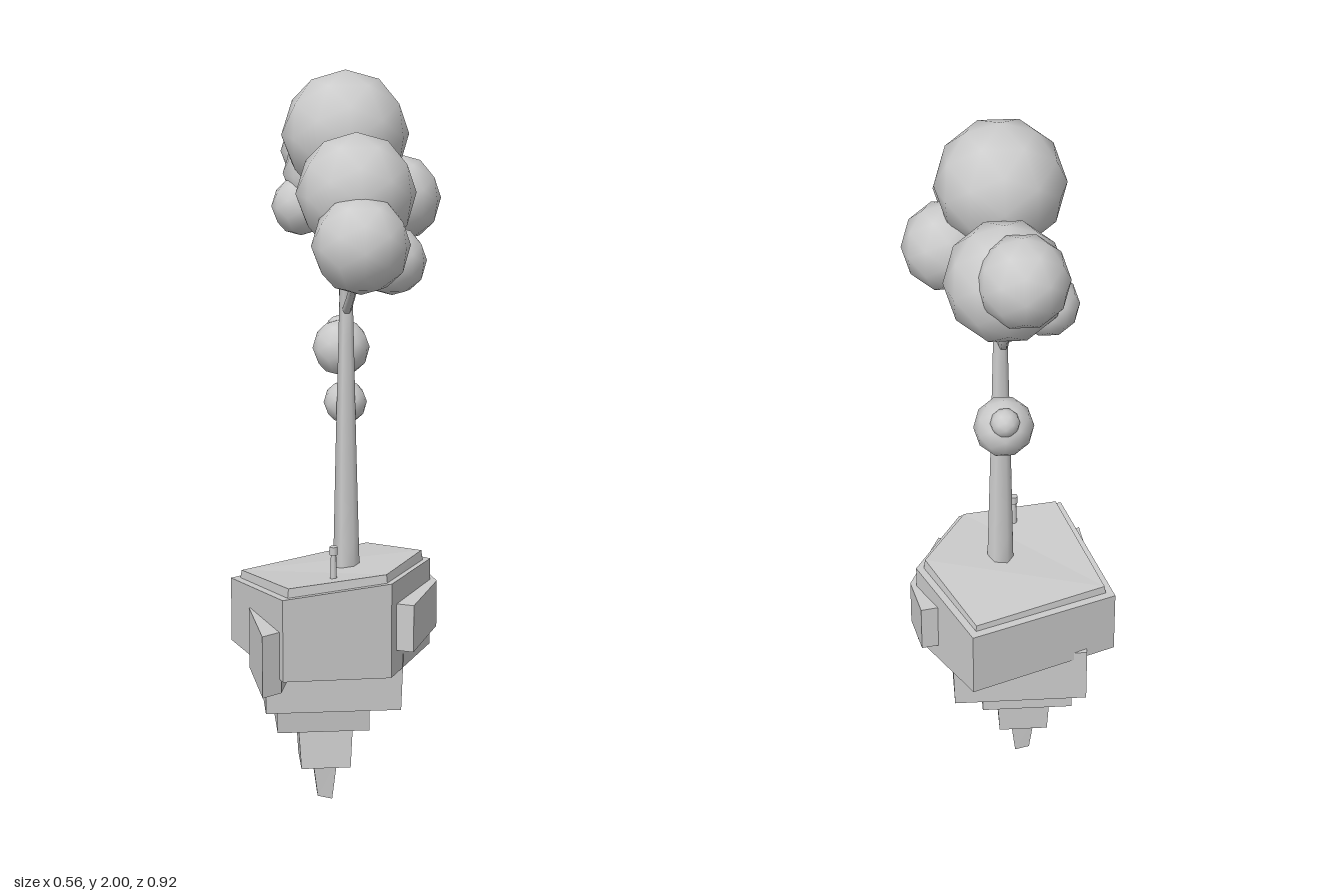
import * as THREE from 'three';

const mat = new THREE.MeshStandardMaterial({ color: 0xcccccc });

function add(parent, name, geometry) {
  const mesh = new THREE.Mesh(geometry, mat);
  mesh.name = name;
  parent.add(mesh);
  return mesh;
}

// Flat-faced prism: footprints [x, z] anticlockwise from above, with a height per corner
function prism(lower, upper, lowY, highY) {
  const n = lower.length;
  const y = (h, i) => (Array.isArray(h) ? h[i] : h);
  const b = lower.map(([x, z], i) => [x, y(lowY, i), z]);
  const t = upper.map(([x, z], i) => [x, y(highY, i), z]);
  const pos = [];
  const tri = (...corners) => corners.forEach((c) => pos.push(...c));
  for (let i = 0; i < n; i++) {
    const j = (i + 1) % n;
    tri(b[i], b[j], t[j]);
    tri(b[i], t[j], t[i]);
    if (i > 0 && i < n - 1) {
      tri(t[0], t[i], t[j]);
      tri(b[0], b[j], b[i]);
    }
  }
  const g = new THREE.BufferGeometry();
  g.setAttribute('position', new THREE.Float32BufferAttribute(pos, 3));
  g.computeVertexNormals();
  return g;
}

// Six-sided limb along a curve, tapering from r0 to r1
function limb(points, r0, r1) {
  const curve = new THREE.CatmullRomCurve3(points.map((p) => new THREE.Vector3(...p)));
  const steps = 8, sides = 6;
  const g = new THREE.TubeGeometry(curve, steps, r0, sides);
  const p = g.attributes.position, v = new THREE.Vector3();
  for (let i = 0; i < p.count; i++) {
    const u = Math.floor(i / (sides + 1)) / steps;
    const c = curve.getPointAt(u);
    v.fromBufferAttribute(p, i).sub(c).multiplyScalar(1 + (r1 / r0 - 1) * u).add(c);
    p.setXYZ(i, v.x, v.y, v.z);
  }
  g.computeVertexNormals();
  return g;
}

const resize = (pts, k) => pts.map(([x, z]) => [0.01 + (x - 0.01) * k, 0.005 + (z - 0.005) * k]);
const rect = (x0, x1, z0, z1) => [[x0, z0], [x0, z1], [x1, z1], [x1, z0]];

export function createModel() {
  const model = new THREE.Group();
  model.name = 'floatingIslandTree';

  // Five-sided island and its raised ground slab
  const island = new THREE.Group();
  island.name = 'island';
  model.add(island);
  const outline = [[-0.28, -0.105], [-0.162, 0.267], [0.13, 0.2], [0.26, -0.03], [0.12, -0.295]];
  add(island, 'islandBody', prism(outline, outline,
    [0.43, 0.44, 0.418, 0.43, 0.45], [0.61, 0.665, 0.68, 0.675, 0.635]));
  add(island, 'groundSlab', prism(resize(outline, 0.92), resize(outline, 0.9),
    [0.6, 0.655, 0.67, 0.665, 0.625], [0.635, 0.688, 0.7, 0.7, 0.652]));

  // Rocks set into the sides
  const rightRock = [[0.15, -0.12], [0.145, 0.17], [0.19, 0.19], [0.277, -0.017], [0.252, -0.14]];
  add(island, 'leftSideRock', prism(rightRock, rightRock, 0.485, 0.615));
  const leftRock = [[-0.238, 0.04], [-0.216, 0.275], [-0.165, 0.24], [-0.12, 0.06]];
  add(island, 'rightSideRock', prism(leftRock, leftRock, 0.4, 0.57));

  // Stepped underside: footprint below, footprint above, heights
  const steps = [
    [rect(-0.2, 0.165, -0.16, 0.13), rect(-0.2, 0.17, -0.16, 0.135), 0.3, 0.46],
    [rect(-0.165, 0.085, -0.1, 0.07), rect(-0.165, 0.085, -0.1, 0.08), 0.22, 0.31],
    [rect(-0.1, 0.035, -0.06, 0.062), rect(-0.107, 0.042, -0.063, 0.05), 0.11, 0.23],
    [rect(-0.052, -0.012, -0.022, 0.016), rect(-0.066, 0.002, -0.03, 0.022), [0.01, 0.01, 0, 0], 0.12],
  ];
  steps.forEach(([low, high, y0, y1], i) => add(island, `underRock${i + 1}`, prism(low, high, y0, y1)));

  // Small post on the ground
  const post = new THREE.Group();
  post.name = 'post';
  post.position.set(-0.02, 0, 0.155);
  add(post, 'postShaft', new THREE.CylinderGeometry(0.007, 0.009, 0.08, 8)).position.y = 0.715;
  add(post, 'postHead', new THREE.CylinderGeometry(0.011, 0.011, 0.022, 8)).position.y = 0.762;
  model.add(post);

  // Trunk and branches: points, start radius, end radius
  const tree = new THREE.Group();
  tree.name = 'tree';
  model.add(tree);
  add(tree, 'trunk', limb([[0.027, 0.66, 0.012], [0.025, 1.05, 0.017], [0.025, 1.25, 0.018],
    [0.025, 1.4, 0.016]], 0.036, 0.018));
  const branches = [
    [[[0.025, 1.38, 0.016], [0.025, 1.5, 0.035], [0.03, 1.6, 0.06], [0.03, 1.75, 0.06]], 0.018, 0.012],
    [[[0.025, 1.37, 0.01], [0.03, 1.44, 0.12], [0.03, 1.49, 0.2], [0.03, 1.6, 0.32]], 0.013, 0.009],
    [[[0.025, 1.37, 0.015], [0.028, 1.43, -0.09], [0.03, 1.48, -0.19], [0.03, 1.65, -0.27]], 0.015, 0.011],
    [[[0.03, 1.45, 0.13], [0.03, 1.5, 0.15], [0.03, 1.56, 0.15]], 0.008, 0.006],
    [[[0.03, 1.47, 0.17], [0.08, 1.5, 0.21], [0.12, 1.55, 0.25]], 0.008, 0.006],
    [[[0.03, 1.5, 0.2], [0.03, 1.58, 0.21], [0.03, 1.7, 0.2]], 0.009, 0.006],
    [[[0.025, 1.5, 0.035], [0.09, 1.58, 0.01], [0.16, 1.66, -0.01]], 0.01, 0.007],
    [[[0.03, 1.42, -0.07], [0.02, 1.48, -0.09], [0.01, 1.53, -0.105]], 0.008, 0.006],
    [[[0.03, 1.47, -0.16], [-0.02, 1.52, -0.2], [-0.07, 1.61, -0.23]], 0.008, 0.006],
    [[[0.025, 1.08, 0.016], [0.028, 1.11, -0.04], [0.03, 1.14, -0.12], [0.03, 1.22, -0.185]], 0.011, 0.008],
  ];
  branches.forEach(([pts, r0, r1], i) => add(tree, `branch${i + 1}`, limb(pts, r0, r1)));

  // Foliage balls: x, y, z, radius
  const balls = [
    [0.025, 1.835, -0.012, 0.166],
    [0.033, 1.715, 0.203, 0.153],
    [0.033, 1.605, 0.335, 0.124],
    [0.12, 1.55, 0.248, 0.088],
    [0.03, 1.56, 0.15, 0.062],
    [0.16, 1.667, -0.012, 0.116],
    [0.03, 1.7, -0.258, 0.152],
    [-0.006, 1.748, -0.345, 0.116],
    [-0.075, 1.615, -0.23, 0.08],
    [0.005, 1.535, -0.105, 0.05],
    [0.03, 1.233, -0.187, 0.078],
    [0.028, 1.117, -0.038, 0.058],
    [0.03, 1.275, -0.235, 0.038],
  ];
  balls.forEach(([x, y, z, r], i) =>
    add(tree, `foliage${i + 1}`, new THREE.IcosahedronGeometry(r, 1)).position.set(x, y, z));

  return model;
}
